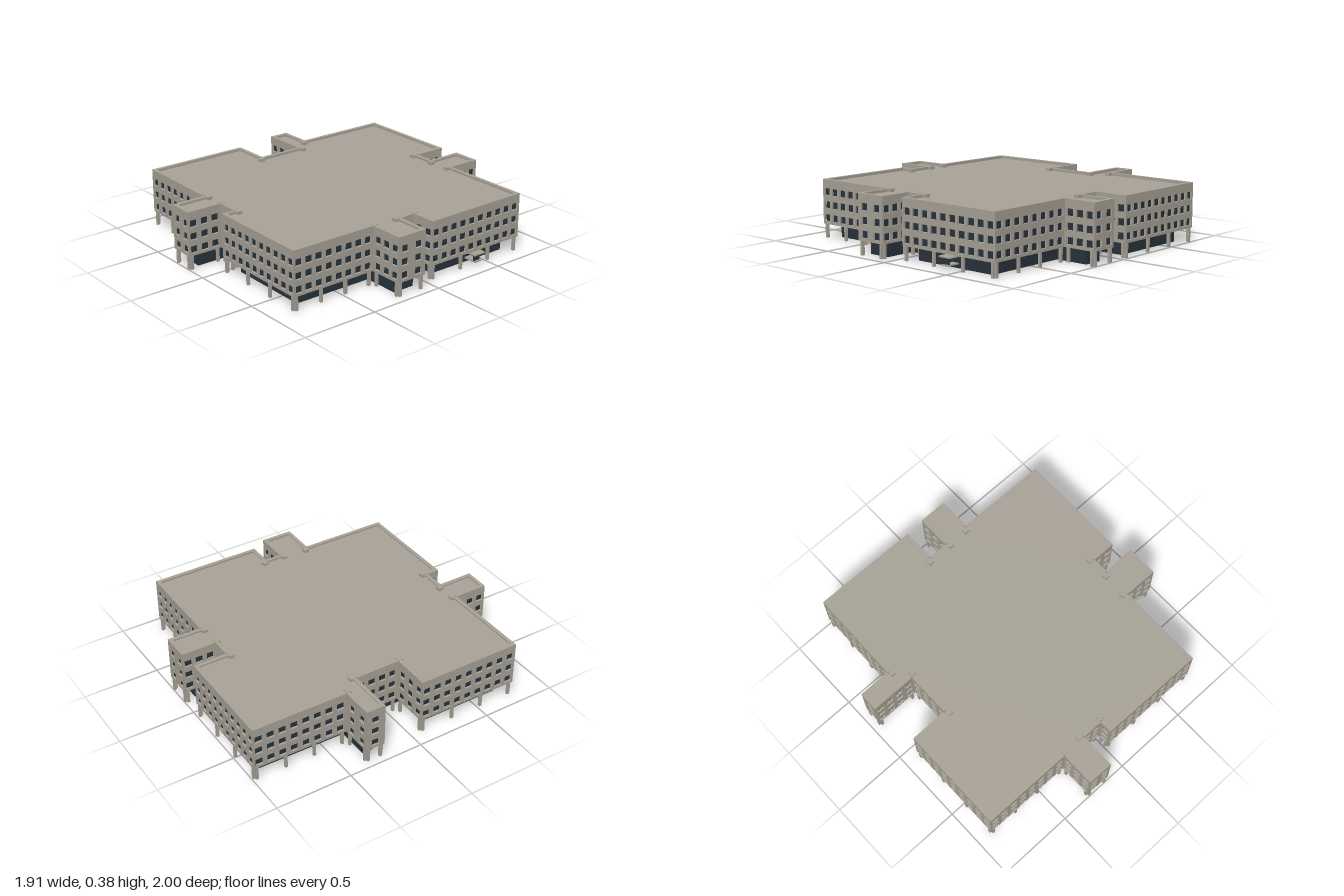
import * as THREE from 'three';
import { mergeGeometries } from 'three/addons/utils/BufferGeometryUtils.js';

// Footprint corners [x, z, ground floor setback of the edge that starts here]
const PLAN = [
  [-0.736, -0.995, 0.08], [-0.03, -0.99, 0.07], [-0.03, -0.77, 0.06], [0.1, -0.77, 0.03],
  [0.1, -1, 0.08], [0.288, -1, 0.03], [0.285, -0.78, 0.08], [0.895, -0.775, 0.07],
  [0.889, -0.04, 0.07], [0.73, -0.04, 0.06], [0.73, 0.065, 0.03], [0.947, 0.065, 0.07],
  [0.947, 0.275, 0.03], [0.72, 0.272, 0.08], [0.714, 0.857, 0.08], [0.006, 0.85, 0.07],
  [0.006, 0.765, 0.06], [-0.135, 0.765, 0.03], [-0.135, 1, 0.08], [-0.305, 0.996, 0.03],
  [-0.305, 0.77, 0.08], [-0.908, 0.765, 0.08], [-0.905, 0.065, 0.08], [-0.655, 0.065, 0.06],
  [-0.655, -0.235, 0.03], [-0.957, -0.235, 0.08], [-0.954, -0.365, 0.03], [-0.745, -0.365, 0.08],
];
const BASE = 0.09, ROOF = 0.36, TOP = 0.38, WALL = 0.014;
const WINDOW_W = 0.051, WINDOW_H = 0.052, ROWS = [0.102, 0.187, 0.271];

const N = PLAN.length;
const edgeNormal = (i) => {
  const a = PLAN[i], b = PLAN[(i + 1) % N];
  const len = Math.hypot(b[0] - a[0], b[1] - a[1]);
  return [(b[1] - a[1]) / len, -(b[0] - a[0]) / len];
};

// Move every footprint edge inward by a distance and return the new corners
function inset(distance) {
  return PLAN.map((p, i) => {
    const j = (i + N - 1) % N;
    const m = edgeNormal(j), n = edgeNormal(i);
    const dm = -distance(PLAN[j]), dn = -distance(p);
    const det = m[0] * n[1] - m[1] * n[0];
    return [p[0] + (dm * n[1] - m[1] * dn) / det, p[1] + (m[0] * dn - dm * n[0]) / det];
  });
}

function planShape(outer, hole) {
  const points = (poly) => poly.map(([x, z]) => new THREE.Vector2(x, -z));
  const shape = new THREE.Shape(points(outer));
  if (hole) shape.holes.push(new THREE.Path(points(hole)));
  return shape;
}

// Call build(length) per edge; local x runs along the wall, local z points outward
function alongEdges(poly, build) {
  const parts = [];
  poly.forEach((a, i) => {
    const b = poly[(i + 1) % poly.length];
    const dx = a[0] - b[0], dz = a[1] - b[1];
    for (const g of build(Math.hypot(dx, dz))) {
      parts.push(g.rotateY(Math.atan2(-dz, dx)).translate(b[0], 0, b[1]));
    }
  });
  return mergeGeometries(parts);
}

const windowCentres = (len) => {
  const n = Math.max(1, Math.floor(len / 0.0705));
  return Array.from({ length: n }, (_, k) => (len * (k + 0.5)) / n);
};

const box = (w, h, d, x, y, z) => new THREE.BoxGeometry(w, h, d).translate(x, y, z);

export function createModel() {
  const model = new THREE.Group();
  const material = (name, color, side = THREE.FrontSide) => {
    const m = new THREE.MeshStandardMaterial({ color, side });
    m.name = name;
    return m;
  };
  const concrete = material('concrete', 0xaaa498);
  const slab = material('roof concrete', 0xaaa499, THREE.DoubleSide);
  const glass = material('dark glass', 0x28343d, THREE.DoubleSide);
  const add = (name, geometry, mat) => {
    const mesh = new THREE.Mesh(geometry, mat);
    mesh.name = name;
    model.add(mesh);
  };

  const outer = PLAN.map(([x, z]) => [x, z]);
  const innerFace = inset(() => WALL);
  const parapetFace = inset(() => 0.024);
  const ground = inset((p) => p[2]);

  // Upper storeys with punched window openings
  add('upperWalls', alongEdges(outer, (len) => {
    const s = new THREE.Shape();
    s.moveTo(0, BASE).lineTo(len, BASE).lineTo(len, TOP).lineTo(0, TOP).closePath();
    for (const x of windowCentres(len)) {
      for (const y of ROWS) {
        const l = x - WINDOW_W / 2, r = x + WINDOW_W / 2;
        const h = new THREE.Path();
        h.moveTo(l, y).lineTo(l, y + WINDOW_H).lineTo(r, y + WINDOW_H).lineTo(r, y).closePath();
        s.holes.push(h);
      }
    }
    return [new THREE.ExtrudeGeometry(s, { depth: WALL, bevelEnabled: false }).translate(0, 0, -WALL)];
  }), concrete);

  // Recessed glazing and sills
  add('windowGlass', alongEdges(outer, (len) => [
    new THREE.PlaneGeometry(len - 0.03, 0.24).translate(len / 2, 0.215, -WALL + 0.002),
  ]), glass);
  add('windowSills', alongEdges(outer, (len) => windowCentres(len).flatMap((x) =>
    ROWS.map((y) => box(WINDOW_W - 0.008, 0.007, 0.014, x + 0.003, y + 0.0035, -0.005)))), concrete);

  // Roof, parapet and the small piers at its inward corners
  add('roof', new THREE.ShapeGeometry(planShape(innerFace)).rotateX(-Math.PI / 2).translate(0, ROOF, 0), slab);
  add('parapet', new THREE.ExtrudeGeometry(planShape(innerFace, parapetFace), {
    depth: TOP - ROOF, bevelEnabled: false,
  }).rotateX(-Math.PI / 2).translate(0, ROOF, 0), concrete);
  const pierSpots = inset(() => 0.022).filter((_, i) => {
    const m = edgeNormal((i + N - 1) % N), n = edgeNormal(i);
    return m[0] * n[1] - m[1] * n[0] < 0;
  });
  add('parapetPiers', mergeGeometries(pierSpots.map(([x, z]) =>
    box(0.034, TOP - ROOF, 0.034, x, (TOP + ROOF) / 2, z))), concrete);

  // Overhang underside, glazed ground floor and inner lining
  add('soffit', new THREE.ShapeGeometry(planShape(outer, ground)).rotateX(-Math.PI / 2).translate(0, BASE, 0), slab);
  const band = (y0, y1) => alongEdges(ground, (len) => [
    new THREE.PlaneGeometry(len, y1 - y0).translate(len / 2, (y0 + y1) / 2, 0),
  ]);
  add('groundFloorGlass', band(0, BASE), glass);
  add('innerLining', band(BASE, ROOF), slab);

  // Columns, paired around each corner
  add('columns', alongEdges(outer, (len) => {
    const spans = Math.max(1, Math.round(len / 0.22));
    return Array.from({ length: spans + 1 }, (_, k) =>
      box(0.017, BASE, 0.017, 0.023 + ((len - 0.046) * k) / spans, BASE / 2, -0.01));
  }), concrete);

  // Side entrance with canopy and step
  add('entranceCanopy', box(0.11, 0.008, 0.09, 0.87, 0.078, -0.415), concrete);
  add('entranceStep', box(0.1, 0.008, 0.05, 0.865, 0.028, -0.41), concrete);
  add('entranceScreen', box(0.006, 0.045, 0.05, 0.9, 0.053, -0.41), glass);

  return model;
}
